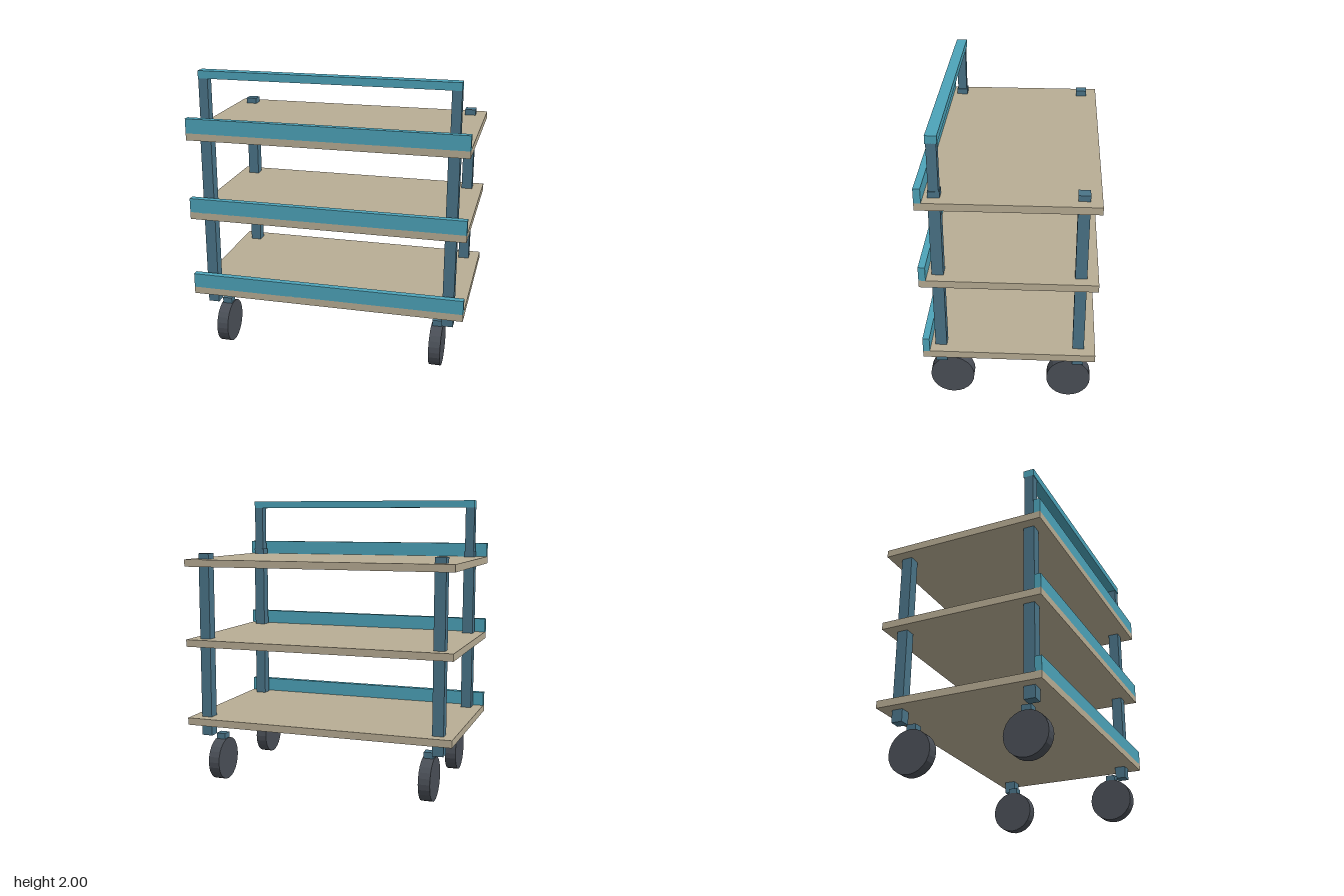
import * as THREE from 'three';

const material = (color) => new THREE.MeshStandardMaterial({ color, flatShading: true });

export function createModel() {
  const cart = new THREE.Group();
  cart.name = 'shelfTrolley';

  const wood = material(0xb8ad94);
  const teal = material(0x4da3b9);
  const steel = material(0x4a7488);
  const rubber = material(0x4a4f57);

  function add(name, geometry, mat, x, y, z) {
    const mesh = new THREE.Mesh(geometry, mat);
    mesh.name = name;
    mesh.position.set(x, y, z);
    cart.add(mesh);
  }
  const box = (w, h, d) => new THREE.BoxGeometry(w, h, d);

  // Three shelves, each with a raised lip along the front edge
  for (const y of [0.42, 0.98, 1.54]) {
    add('shelf', box(1.9, 0.05, 1.14), wood, 0, y + 0.025, 0);
    add('frontLip', box(1.9, 0.1, 0.045), teal, 0, y + 0.098, 0.5475);
  }

  // Four corner posts with a caster set inward of each
  const wheel = new THREE.CylinderGeometry(0.15, 0.15, 0.08, 24).rotateZ(Math.PI / 2);
  for (const sx of [-1, 1]) {
    for (const sz of [-1, 1]) {
      add('post', box(0.076, 1.295, 0.076), steel, sx * 0.84, 0.9825, sz * 0.458);
      add('casterMount', box(0.066, 0.06, 0.066), steel, sx * 0.764, 0.31, sz * 0.4);
      add('wheel', wheel, rubber, sx * 0.764, 0.153, sz * 0.4);
    }
    // Slimmer handle upright above the front post
    add('handleUpright', box(0.064, 0.35, 0.064), steel, sx * 0.841, 1.775, 0.458);
  }

  // Push bar across the front uprights
  add('handleBar', box(1.746, 0.052, 0.074), teal, 0, 1.974, 0.458);

  return cart;
}
